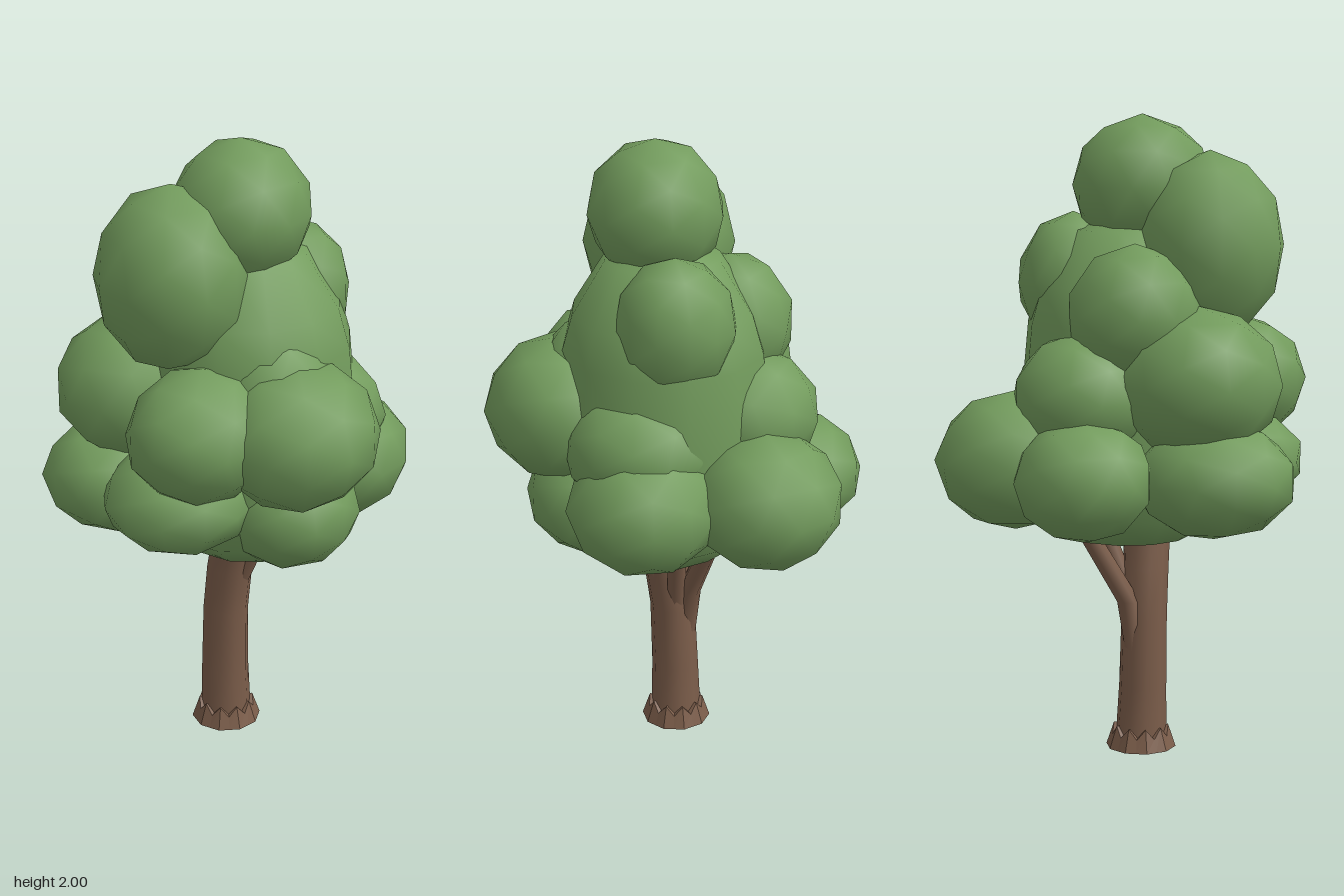
import * as THREE from 'three';

export function createModel() {
  const tree = new THREE.Group();
  tree.name = 'tree';
  const leafGreen = new THREE.MeshStandardMaterial({ color: 0x739c5d });
  leafGreen.name = 'leafGreen';
  const barkBrown = new THREE.MeshStandardMaterial({ color: 0x7b5d4a });
  barkBrown.name = 'barkBrown';

  const add = (name, geometry, material) => {
    const mesh = new THREE.Mesh(geometry, material);
    mesh.name = name;
    tree.add(mesh);
  };

  // Foliage clumps: name, centre, radii
  const clumps = [
    ['crownTop', [0.047, 1.783, 0.042], [0.208, 0.217, 0.217]],
    ['upperFrontClump', [-0.018, 1.605, 0.262], [0.236, 0.285, 0.228]],
    ['upperBackClump', [0.04, 1.483, -0.175], [0.185, 0.215, 0.175]],
    ['upperRightClump', [-0.195, 1.4, 0.055], [0.197, 0.215, 0.205]],
    ['middleFrontRightClump', [-0.21, 1.2, 0.25], [0.237, 0.23, 0.255]],
    ['middleFrontLeftClump', [0.165, 1.17, 0.305], [0.21, 0.207, 0.243]],
    ['middleLeftClump', [0.335, 1.155, 0.08], [0.245, 0.225, 0.255]],
    ['innerLeftClump', [0.215, 1.22, 0.06], [0.21, 0.235, 0.21]],
    ['middleBackRightClump', [-0.215, 1.15, -0.1], [0.22, 0.2, 0.215]],
    ['middleBackLeftClump', [0.15, 1.1, -0.165], [0.23, 0.2, 0.22]],
    ['lowerRightClump', [-0.37, 0.92, -0.075], [0.215, 0.185, 0.21]],
    ['lowerBackRightClump', [-0.21, 0.95, -0.315], [0.235, 0.212, 0.245]],
    ['lowerBackLeftClump', [0.16, 0.94, -0.255], [0.235, 0.205, 0.235]],
    ['lowerLeftClump', [0.25, 0.87, 0.025], [0.215, 0.188, 0.215]],
    ['lowerFrontRightClump', [-0.235, 0.91, 0.305], [0.222, 0.18, 0.248]],
    ['lowerFrontLeftClump', [0.065, 0.93, 0.31], [0.232, 0.165, 0.24]],
  ];
  clumps.forEach(([name, centre, radii], i) => {
    const g = new THREE.IcosahedronGeometry(1.02, 1);
    add(name, g.rotateY(i * 1.3).scale(...radii).translate(...centre), leafGreen);
  });

  // Inner foliage core that fills the gaps between the clumps
  const profile = [[0, 0.655], [0.2, 0.68], [0.31, 0.77], [0.34, 0.95], [0.34, 1.15],
    [0.32, 1.36], [0.285, 1.48], [0.18, 1.65], [0, 1.7]];
  const core = new THREE.LatheGeometry(profile.map(p => new THREE.Vector2(...p)), 12);
  add('foliageCore', core.translate(0.035, 0, 0), leafGreen);

  // A tapering limb lofted through rings: [x, y, z, radius]
  function limb(name, rings, sides = 10) {
    const positions = [], index = [];
    rings.forEach(([x, y, z, r], j) => {
      for (let i = 0; i < sides; i++) {
        const a = i / sides * Math.PI * 2;
        positions.push(x + r * Math.sin(a), y, z + r * Math.cos(a));
        if (j === 0) continue;
        const p = (j - 1) * sides + i, q = (j - 1) * sides + (i + 1) % sides;
        index.push(p, q, q + sides, p, q + sides, p + sides);
      }
    });
    const g = new THREE.BufferGeometry();
    g.setAttribute('position', new THREE.Float32BufferAttribute(positions, 3));
    g.setIndex(index);
    g.computeVertexNormals();
    add(name, g, barkBrown);
  }

  // Trunk and forked branches
  limb('trunk', [[-0.02, 0.02, 0.05, 0.082], [-0.018, 0.2, 0.055, 0.076],
    [-0.01, 0.42, 0.058, 0.073], [0.012, 0.58, 0.06, 0.073], [0.05, 0.74, 0.06, 0.075]]);
  limb('rightBranch', [[-0.045, 0.3, 0.04, 0.035], [-0.055, 0.48, 0.015, 0.038],
    [-0.09, 0.72, -0.12, 0.034]], 7);
  limb('backBranch', [[-0.015, 0.4, 0.03, 0.03], [-0.005, 0.54, -0.01, 0.032],
    [0.015, 0.74, -0.09, 0.03]], 7);
  limb('leftBranch', [[0.03, 0.5, 0.05, 0.03], [0.07, 0.6, 0.04, 0.034],
    [0.12, 0.74, 0.03, 0.036]], 7);

  // Flared root collar with a jagged upper rim
  const teeth = 20;
  const flare = new THREE.CylinderGeometry(0.092, 0.112, 0.06, teeth, 1).toNonIndexed();
  const pos = flare.attributes.position;
  for (let i = 0; i < pos.count; i++) {
    const x = pos.getX(i), y = pos.getY(i), z = pos.getZ(i);
    if (Math.hypot(x, z) < 0.01) continue;
    const odd = Math.abs(Math.round(Math.atan2(x, z) / (Math.PI * 2) * teeth)) % 2;
    const pull = (y > 0) === (odd === 1) ? 1 : 0.95;
    pos.setXYZ(i, x * pull, y > 0 ? (odd ? 0.01 : 0.042) : y, z * pull);
  }
  flare.computeVertexNormals();
  add('rootCollar', flare.translate(-0.02, 0.03, 0.05), barkBrown);

  return tree;
}
